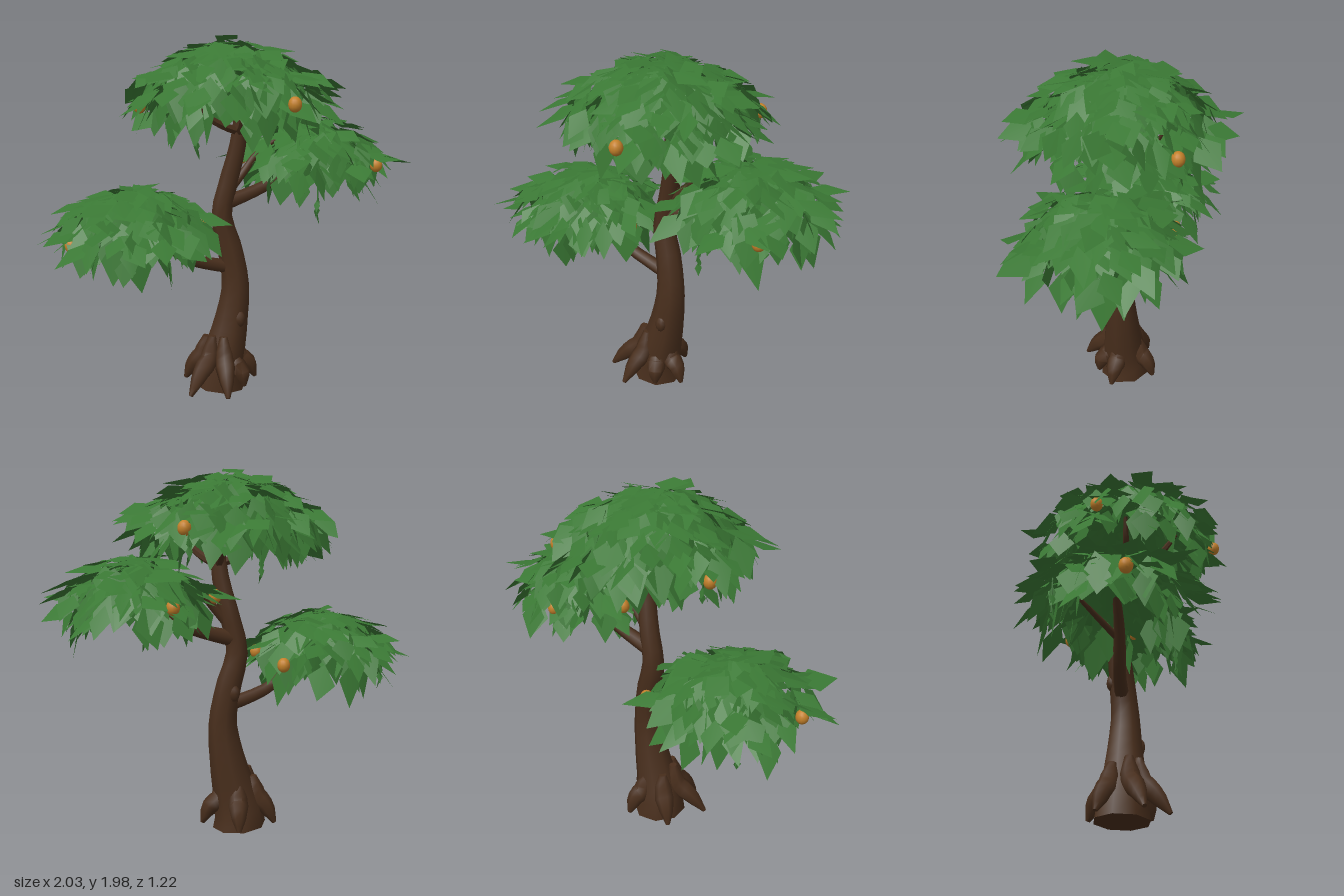
import * as THREE from 'three';
import { toCreasedNormals } from 'three/addons/utils/BufferGeometryUtils.js';

const material = (name, color, side = THREE.FrontSide) => {
  const m = new THREE.MeshStandardMaterial({ color, side });
  m.name = name;
  return m;
};

export function createModel() {
  const tree = new THREE.Group();
  tree.name = 'fruitTree';
  const bark = material('bark', 0x482e1c);
  const leafGreen = material('leafGreen', 0x3a7834, THREE.DoubleSide);
  const fruitOrange = material('fruitOrange', 0xc3802a);

  let seed = 11;
  const rand = (a, b) => {
    seed = (seed * 16807) % 2147483647;
    return a + (b - a) * (seed / 2147483647);
  };
  const add = (name, geometry, mat) => {
    const mesh = new THREE.Mesh(geometry, mat);
    mesh.name = name;
    tree.add(mesh);
    return mesh;
  };

  // Closed tapering tube along a smooth path, radii spread evenly over its length
  function limb(name, points, radii, sides = 8, segments = 12) {
    const curve = new THREE.CatmullRomCurve3(points.map((p) => new THREE.Vector3(...p)));
    const geo = new THREE.TubeGeometry(curve, segments, 1, sides);
    const pos = geo.attributes.position;
    const v = new THREE.Vector3();
    for (let i = 0; i <= segments; i++) {
      // the first and last rings collapse into end caps
      const cap = i === 0 || i === segments;
      const t = (Math.min(Math.max(i, 1), segments - 1) - 1) / (segments - 2);
      const f = t * (radii.length - 1);
      const k = Math.min(Math.floor(f), radii.length - 2);
      const r = cap ? 0 : THREE.MathUtils.lerp(radii[k], radii[k + 1], f - k);
      const from = curve.getPointAt(i / segments);
      const to = curve.getPointAt(t);
      for (let j = 0; j <= sides; j++) {
        const n = i * (sides + 1) + j;
        v.fromBufferAttribute(pos, n).sub(from).multiplyScalar(r).add(to);
        pos.setXYZ(n, v.x, v.y, v.z);
      }
    }
    return add(name, toCreasedNormals(geo, 1.0), bark);
  }

  // Trunk
  limb('trunk', [
    [-0.025, 0.012, -0.01], [-0.022, 0.1, -0.01], [0.0, 0.2, -0.01], [0.045, 0.4, -0.02], [0.07, 0.6, -0.025],
    [0.042, 0.8, -0.035], [-0.007, 1.0, -0.04], [0.035, 1.2, -0.04], [0.08, 1.4, -0.02], [0.1, 1.65, 0],
  ], [0.15, 0.122, 0.096, 0.077, 0.07, 0.058, 0.053, 0.045, 0.035], 8, 22);

  // Flared roots: angle, outer reach, height on the trunk
  const roots = [[0, 0.2, 0.26], [0.85, 0.16, 0.22], [1.65, 0.255, 0.33], [2.45, 0.28, 0.33],
    [3.5, 0.21, 0.3], [4.85, 0.195, 0.27]];
  for (const [a, reach, top] of roots) {
    const at = (r, y) => [-0.015 + r * Math.cos(a), y, -0.01 + r * Math.sin(a)];
    limb('root', [at(0.085, top), at(0.11, top * 0.62), at(0.11 + (reach - 0.11) * 0.5, 0.13), at(reach, 0.035)],
      [0.022, 0.05, 0.056, 0.04, 0.012], 7, 10);
  }

  // Boughs carrying each canopy
  limb('leftBough', [[0.03, 0.71, -0.03], [-0.1, 0.745, 0.0], [-0.23, 0.8, 0.04], [-0.32, 0.89, 0.07], [-0.45, 1.0, 0.1], [-0.53, 1.1, 0.1]],
    [0.04, 0.035, 0.032, 0.025, 0.016]);
  limb('rightBough', [[0.0, 1.07, -0.04], [0.12, 1.1, -0.07], [0.27, 1.15, -0.11], [0.4, 1.23, -0.14], [0.53, 1.4, -0.15]],
    [0.045, 0.038, 0.033, 0.025, 0.016]);
  limb('rightTwig', [[0.06, 1.17, -0.04], [0.12, 1.24, -0.05], [0.2, 1.33, -0.08], [0.33, 1.42, -0.1]], [0.025, 0.02, 0.014]);
  limb('leftTwig', [[-0.3, 0.88, 0.06], [-0.42, 0.94, 0.0], [-0.56, 1.0, -0.06]], [0.02, 0.016, 0.01]);
  for (const [x, z] of [[-0.12, 0.04], [0.24, 0.1], [0.1, -0.2], [0.06, 0.2]]) {
    limb('crownTwig', [[0.09, 1.47, -0.01], [0.09 + (x - 0.09) * 0.5, 1.51, z * 0.5], [x, 1.58, z], [x * 1.5, 1.7, z * 1.4]],
      [0.026, 0.022, 0.018, 0.01], 6);
  }

  // Bark knots
  for (const [x, y, z] of [[0.075, 0.42, 0.05], [0.02, 0.78, -0.08]]) {
    const knot = add('knot', new THREE.SphereGeometry(0.035, 8, 6), bark);
    knot.scale.y = 1.4;
    knot.position.set(x, y, z);
  }

  // One folded diamond leaf appended to shared position and index lists
  const up = new THREE.Vector3(0, 1, 0);
  function pushLeaf(data, base, yaw, pitch, length, width, roll = 0) {
    const d = new THREE.Vector3(Math.cos(yaw) * Math.cos(pitch), -Math.sin(pitch), Math.sin(yaw) * Math.cos(pitch));
    const s = new THREE.Vector3().crossVectors(d, up).normalize().applyAxisAngle(d, roll);
    const n = new THREE.Vector3().crossVectors(s, d);
    const start = data.positions.length / 3;
    const corners = [[0, 0, 0], [rand(0.35, 0.5), width, -0.012], [1, 0, -0.02], [rand(0.35, 0.5), -width, -0.012]];
    for (const [l, w, h] of corners) {
      const p = base.clone().addScaledVector(d, l * length).addScaledVector(s, w).addScaledVector(n, h);
      data.positions.push(p.x, p.y, p.z);
    }
    data.indices.push(start, start + 1, start + 2, start, start + 2, start + 3);
  }
  function leafMesh(name, data) {
    const geo = new THREE.BufferGeometry();
    geo.setAttribute('position', new THREE.Float32BufferAttribute(data.positions, 3));
    geo.setIndex(data.indices);
    geo.computeVertexNormals();
    return add(name, geo, leafGreen);
  }

  // Umbrella canopy: leaves spiral down a flat-topped dome and droop, ragged, at the rim
  function canopy(name, x, top, z, radius, height, count) {
    const data = { positions: [], indices: [] };
    // each layer: spread, drop below the top, extra droop, number of leaves
    const layers = [[1, 0, 0, count], [1, 0.05, 0.25, count * 0.6], [0.9, 0.11, 0.4, count * 0.45]];
    for (const [spread, drop, droop, total] of layers) {
      for (let i = 0; i < total; i++) {
        const q = Math.sqrt((i + 0.5) / total);
        const angle = i * 2.39996 + rand(-0.25, 0.25);
        const yaw = angle + rand(-0.7, 0.7);
        const length = rand(0.15, 0.235);
        // leaves near the middle are pulled back across the crown to close it
        const r = radius * spread * q;
        const back = 0.6 * length * (1 - q);
        const base = new THREE.Vector3(
          x + r * Math.cos(angle) - back * Math.cos(yaw),
          top - drop - height * q ** 2.3 + rand(-0.025, 0.025),
          z + r * Math.sin(angle) - back * Math.sin(yaw));
        const slope = Math.atan((2.3 * height * q ** 1.3) / radius);
        const pitch = q > 0.65 ? rand(0, 1.2) + droop : slope * 0.7 + rand(-0.3, 0.3) + droop * q;
        pushLeaf(data, base, yaw, Math.min(pitch, 1.4), length, rand(0.05, 0.08), rand(-0.6, 0.6) * (0.3 + 0.7 * q));
      }
    }
    leafMesh(name, data);
  }
  canopy('topCanopy', 0.03, 1.945, 0, 0.46, 0.23, 210);
  canopy('rightCanopy', 0.55, 1.515, -0.12, 0.34, 0.17, 140);
  canopy('leftCanopy', -0.51, 1.2, 0.1, 0.355, 0.15, 140);

  // Hanging leafy sprigs
  for (const [x, y, z] of [[-0.18, 1.53, 0.15], [0.48, 1.15, 0.16], [-0.8, 0.95, -0.1], [0.3, 1.65, -0.42]]) {
    const data = { positions: [], indices: [] };
    for (let i = 0; i < 4; i++) {
      pushLeaf(data, new THREE.Vector3(x, y - i * 0.035, z), i * 2.3, 1.1, 0.07, 0.018);
    }
    leafMesh('sprig', data);
    const stem = add('sprigStem', new THREE.CylinderGeometry(0.004, 0.004, 0.18, 5), leafGreen);
    stem.position.set(x, y - 0.05, z);
  }

  // Fruit
  const fruitGeo = new THREE.SphereGeometry(0.034, 14, 10);
  const fruits = [[0.24, 1.66, 0.47], [0.32, 1.66, -0.41], [-0.45, 1.62, -0.02], [0.83, 1.28, 0.12], [0.38, 1.28, -0.42],
    [0.13, 1.31, -0.14], [-0.84, 0.97, 0.27], [-0.14, 0.98, 0.09], [-0.22, 0.95, -0.23]];
  for (const p of fruits) {
    const fruit = add('fruit', fruitGeo, fruitOrange);
    fruit.position.set(...p);
    fruit.scale.y = 1.15;
  }
  return tree;
}
